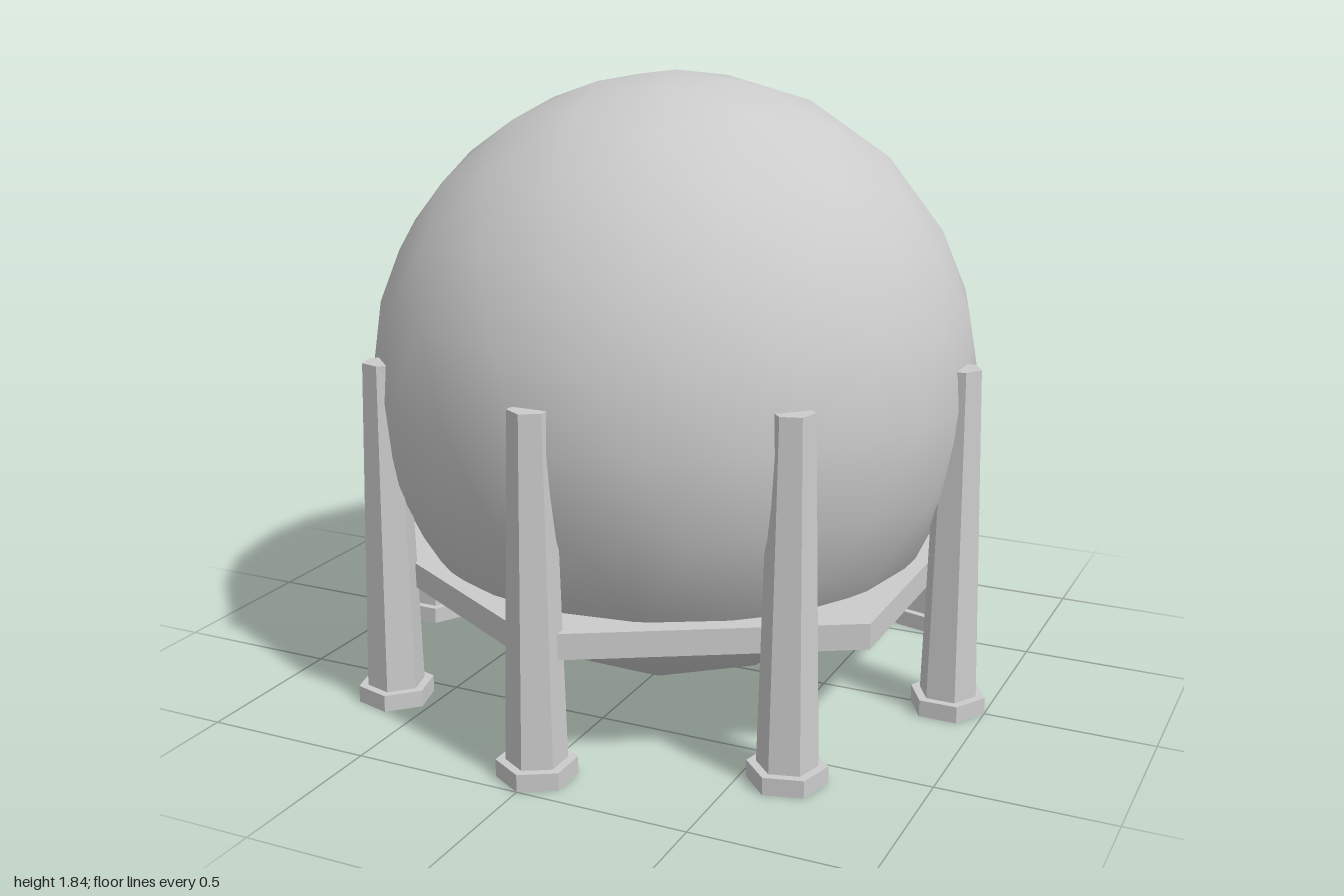
import * as THREE from 'three';

const smooth = new THREE.MeshStandardMaterial({ color: 0xcccccc });
const faceted = new THREE.MeshStandardMaterial({ color: 0xcccccc, flatShading: true });

// Six-sided prism standing on y = bottom, one corner facing +z
function hexPrism(name, topRadius, bottomRadius, bottom, top) {
  const geometry = new THREE.CylinderGeometry(topRadius, bottomRadius, top - bottom, 6);
  geometry.translate(0, (bottom + top) / 2, 0);
  const mesh = new THREE.Mesh(geometry, faceted);
  mesh.name = name;
  return mesh;
}

export function createModel() {
  const model = new THREE.Group();
  model.name = 'sphericalTank';

  // Tank: smooth icosphere, turned so that one corner is at the top
  const sphere = new THREE.IcosahedronGeometry(0.91, 3);
  sphere.rotateZ(-Math.atan(2 / (1 + Math.sqrt(5))));
  const tank = new THREE.Mesh(sphere, smooth);
  tank.name = 'tank';
  tank.position.y = 0.925;
  model.add(tank);

  // Hexagonal platform around the lower part of the tank
  model.add(hexPrism('platform', 0.92, 0.92, 0.345, 0.42));

  // Eight tapered legs on foot pads, each with a corner facing outwards
  const legCount = 8;
  for (let i = 0; i < legCount; i++) {
    const angle = (i / legCount) * Math.PI * 2;
    const leg = new THREE.Group();
    leg.name = 'leg';
    leg.add(hexPrism('legColumn', 0.06, 0.085, 0.05, 1.035));
    leg.add(hexPrism('footPad', 0.112, 0.112, 0, 0.05));
    leg.position.set(Math.sin(angle) * 0.888, 0, Math.cos(angle) * 0.888);
    leg.rotation.y = angle;
    model.add(leg);
  }

  return model;
}
